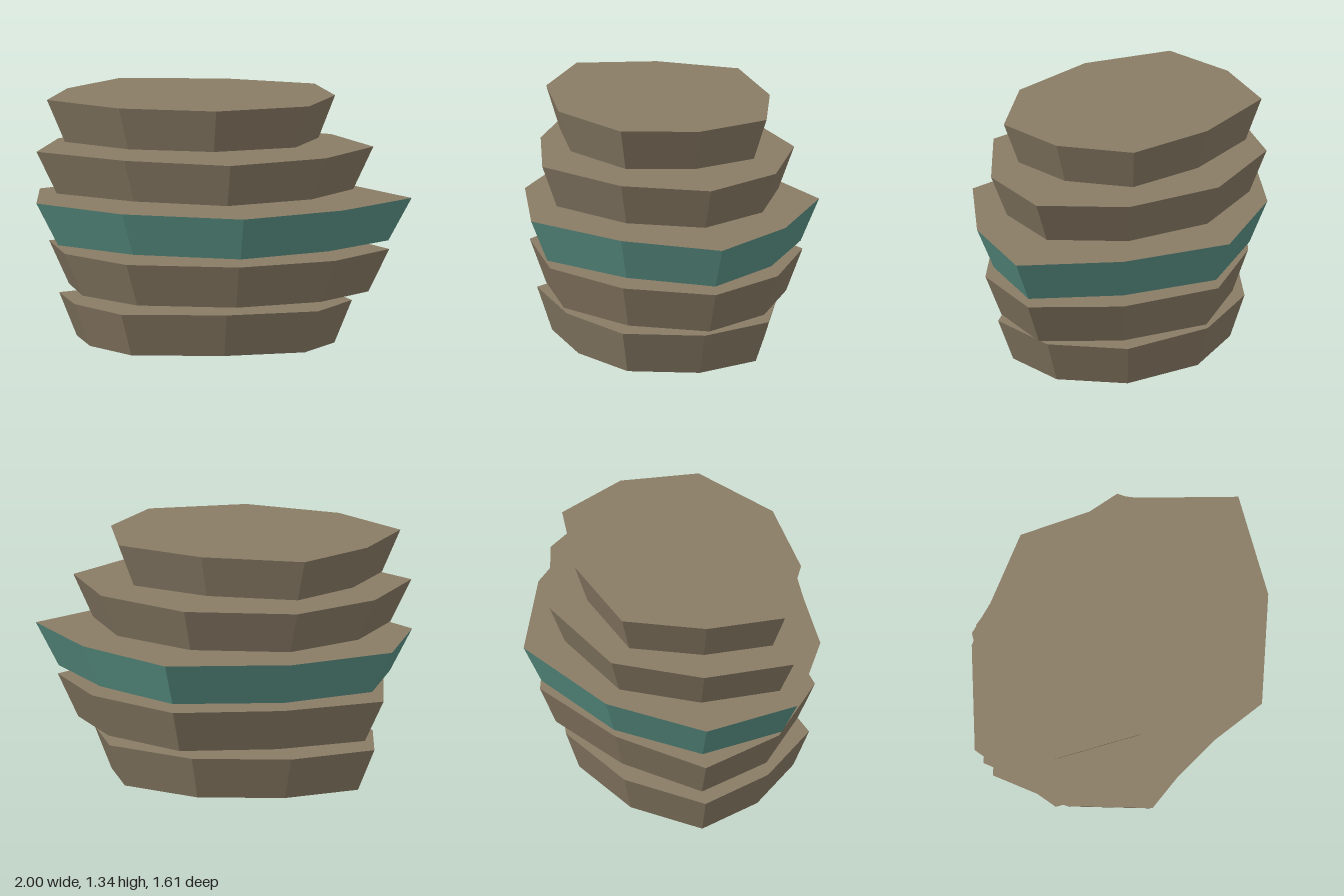
import * as THREE from 'three';

const SIDES = 9, TAPER = 0.88, HEIGHT = 0.23, STEP = 0.277;

// Plan outlines [x, z] around each slab's own centre, from +x turning towards -z
const wide = [[1.04, 0], [0.69, -0.46], [0.17, -0.805], [-0.49, -0.64], [-0.96, -0.27],
  [-0.96, 0.27], [-0.49, 0.64], [0.17, 0.805], [0.69, 0.46]];
const middle = [[0.91, 0], [0.655, -0.435], [0.15, -0.69], [-0.455, -0.62], [-0.8, -0.235],
  [-0.9, 0.25], [-0.42, 0.555], [0.155, 0.72], [0.655, 0.43]];
const small = [[0.76, 0], [0.615, -0.41], [0.13, -0.575], [-0.435, -0.57], [-0.7, -0.195],
  [-0.795, 0.225], [-0.4, 0.515], [0.125, 0.605], [0.615, 0.405]];

const mirrorZ = (outline) => outline.map((_, k) => {
  const [x, z] = outline[(SIDES - k) % SIDES];
  return [x, -z];
});

// Tapered prism: each ring vertex of a cylinder is moved onto the outline
function slabGeometry(outline) {
  const geo = new THREE.CylinderGeometry(1, TAPER, HEIGHT, SIDES, 1, false, Math.PI / 2);
  const pos = geo.attributes.position;
  for (let i = 0; i < pos.count; i++) {
    const x = pos.getX(i), z = pos.getZ(i), r = Math.hypot(x, z);
    if (r < 0.01) continue;
    const k = Math.round(Math.atan2(-z, x) / (2 * Math.PI / SIDES) + SIDES) % SIDES;
    pos.setX(i, outline[k][0] * r);
    pos.setZ(i, outline[k][1] * r);
  }
  const flat = geo.toNonIndexed();
  flat.computeVertexNormals();
  return flat;
}

export function createModel() {
  const stone = new THREE.MeshStandardMaterial({ color: 0x8a7c66 });
  stone.name = 'stone brown';
  const teal = new THREE.MeshStandardMaterial({ color: 0x5c9588 });
  teal.name = 'teal band';

  // Floating slabs from the bottom up; the middle one has a teal rim
  const slabs = [
    { name: 'bottomSlab', outline: mirrorZ(small), x: -0.1, rim: stone },
    { name: 'lowerSlab', outline: mirrorZ(middle), x: -0.05, rim: stone },
    { name: 'middleSlab', outline: wide, x: -0.04, rim: teal },
    { name: 'upperSlab', outline: middle, x: -0.1, rim: stone },
    { name: 'topSlab', outline: small, x: -0.15, rim: stone },
  ];
  // Small correction for the pointed +x corner of the outer slabs
  slabs[0].outline[0] = [0.78, 0];
  slabs[1].outline[0] = [0.93, 0];
  slabs[3].outline[0] = [0.895, 0];
  slabs[4].outline[0] = [0.74, 0];

  const model = new THREE.Group();
  model.name = 'floatingSlabs';
  slabs.forEach(({ name, outline, x, rim }, i) => {
    const slab = new THREE.Mesh(slabGeometry(outline), [rim, stone, stone]);
    slab.name = name;
    slab.position.set(x, HEIGHT / 2 + i * STEP, 0);
    model.add(slab);
  });
  return model;
}
